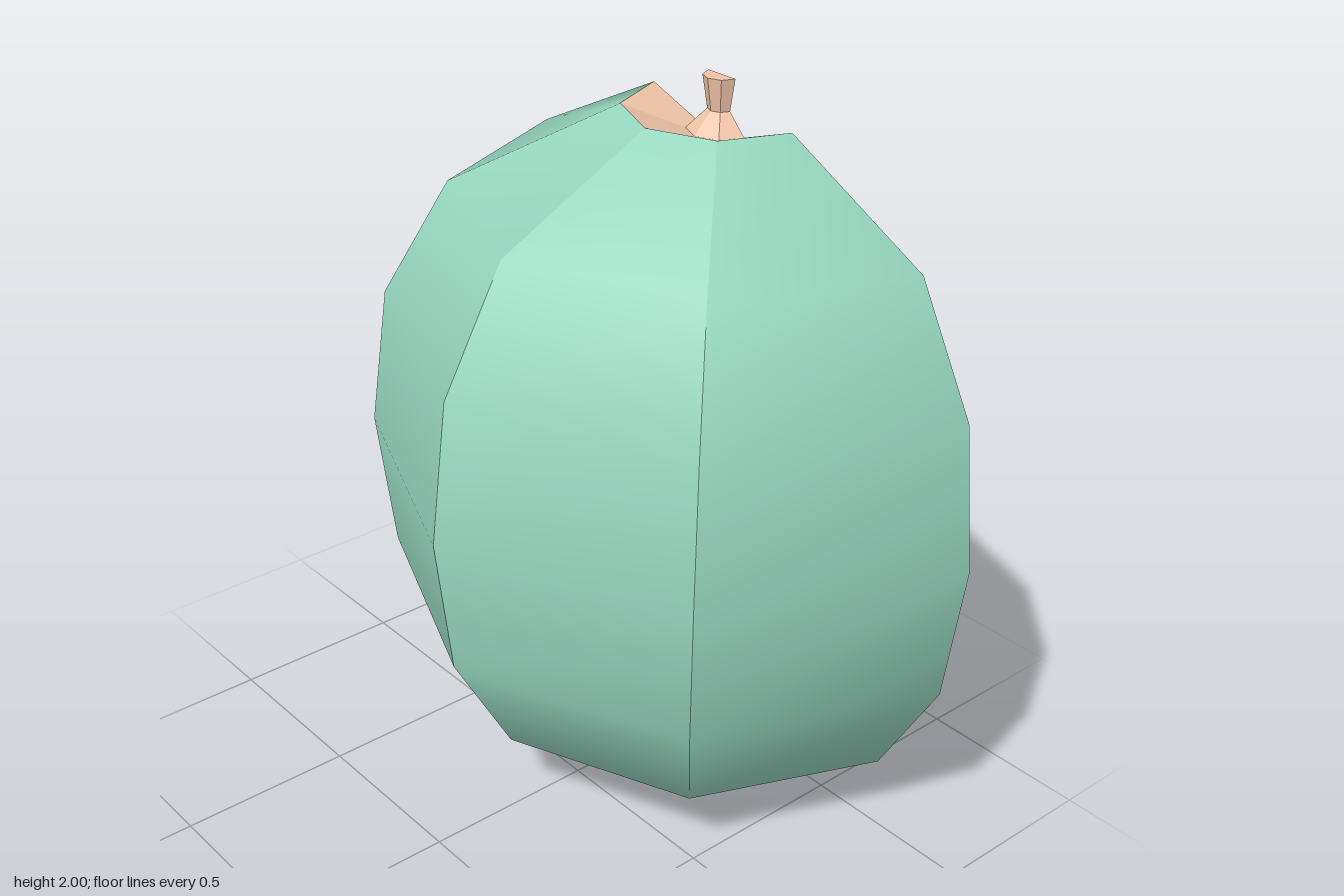
import * as THREE from 'three';

const BACK = -0.4775; // plane of the cut face
const MID = 0.9575; // height of the melon's centre
const PROFILE = [[0.26, 0], [0.72, 0.23], [0.905, 0.56], [0.955, 0.9575], [0.905, 1.355], [0.72, 1.685], [0.26, 1.915]];
const STEM = [[0.26, 1.915], [0.09, 1.855], [0.035, 1.91], [0.05, 2], [0, 2]];
const ROWS = [[0, 0.07], ...PROFILE];

const mat = (color, opts = {}) => {
  const m = new THREE.MeshStandardMaterial(opts);
  m.color.setHex(color);
  return m;
};

function add(group, name, geometry, material) {
  const mesh = new THREE.Mesh(geometry, material);
  mesh.name = name;
  group.add(mesh);
  return mesh;
}

// Column of rind points at one angle round the melon
const rindColumn = (t) => ROWS.map(([r, y]) => [r * Math.cos(t), y, BACK + r * Math.sin(t)]);
// Column on the cut face, where the rind meets the pale ring
const rimColumn = (s) => ROWS.map(([r, y]) => [s * r * 0.86, MID + (Math.max(-MID, y - MID) - (r ? 0 : 0.07)) * 0.84, BACK]);

// Smooth strip through neighbouring columns
function loft(columns) {
  const n = columns[0].length;
  const index = [];
  for (let j = 0; j < columns.length - 1; j++) {
    for (let i = 0; i < n - 1; i++) {
      const a = j * n + i, b = a + n;
      index.push(a, a + 1, b, b, a + 1, b + 1);
    }
  }
  const g = new THREE.BufferGeometry();
  g.setAttribute('position', new THREE.Float32BufferAttribute(columns.flat(2), 3));
  g.setIndex(index);
  g.computeVertexNormals();
  return g;
}

// Closed outline of the cut, scaled about its centre
const outline = (sx, sy) => [
  ...PROFILE.map(([r, y]) => new THREE.Vector2(r * sx, MID + (y - MID) * sy)),
  ...[...PROFILE].reverse().map(([r, y]) => new THREE.Vector2(-r * sx, MID + (y - MID) * sy)),
];

// Flat shape turned to face the back
function backShape(shape, z) {
  return new THREE.ShapeGeometry(shape).rotateY(Math.PI).translate(0, 0, z);
}

export function createModel() {
  const melon = new THREE.Group();
  melon.name = 'halfMelon';
  const green = mat(0x96d6bf, { side: THREE.DoubleSide });
  const peach = mat(0xf0c4a8, { side: THREE.DoubleSide, flatShading: true });

  // Four rind panels; the outer two run smoothly round onto the cut face
  for (let k = 0; k < 4; k++) {
    const columns = [rindColumn(k * Math.PI / 4), rindColumn((k + 1) * Math.PI / 4)];
    if (k === 0) columns.unshift(rimColumn(1));
    if (k === 3) columns.push(rimColumn(-1));
    add(melon, 'rindPanel' + (k + 1), loft(columns), green);
  }

  // Sunken crown with the flared stem
  const crown = STEM.map(([r, y]) => new THREE.Vector2(r, y));
  add(melon, 'crownAndStem', new THREE.LatheGeometry(crown, 4, -Math.PI / 2, Math.PI).translate(0, 0, BACK), peach);

  // Rind behind the crown and stem, closing the cut
  const topY = MID + (1.915 - MID) * 0.84;
  const half = [[0.26 * 0.86, topY], ...STEM.slice(0, 4)];
  const closing = [...half, ...half.map(([x, y]) => [-x, y]).reverse()].map(([x, y]) => new THREE.Vector2(x, y));
  add(melon, 'stemBack', backShape(new THREE.Shape(closing), BACK), green);

  // Pale ring and flesh
  const ring = new THREE.Shape(outline(0.86, 0.84));
  ring.holes.push(new THREE.Path(outline(0.785, 0.76)));
  add(melon, 'paleRing', backShape(ring, BACK), mat(0xd6c289));
  add(melon, 'flesh', backShape(new THREE.Shape(outline(0.785, 0.76)), BACK), mat(0xd28888));

  // Eight square seeds in a circle
  const seedMat = mat(0x786c64);
  for (let k = 0; k < 8; k++) {
    const a = (k + 0.5) * Math.PI / 4;
    const seed = add(melon, 'seed' + (k + 1), new THREE.PlaneGeometry(0.11, 0.11).rotateY(Math.PI), seedMat);
    seed.position.set(0.4 * Math.cos(a), MID + 0.4 * Math.sin(a), BACK - 0.003);
    seed.rotation.z = a;
  }
  return melon;
}
